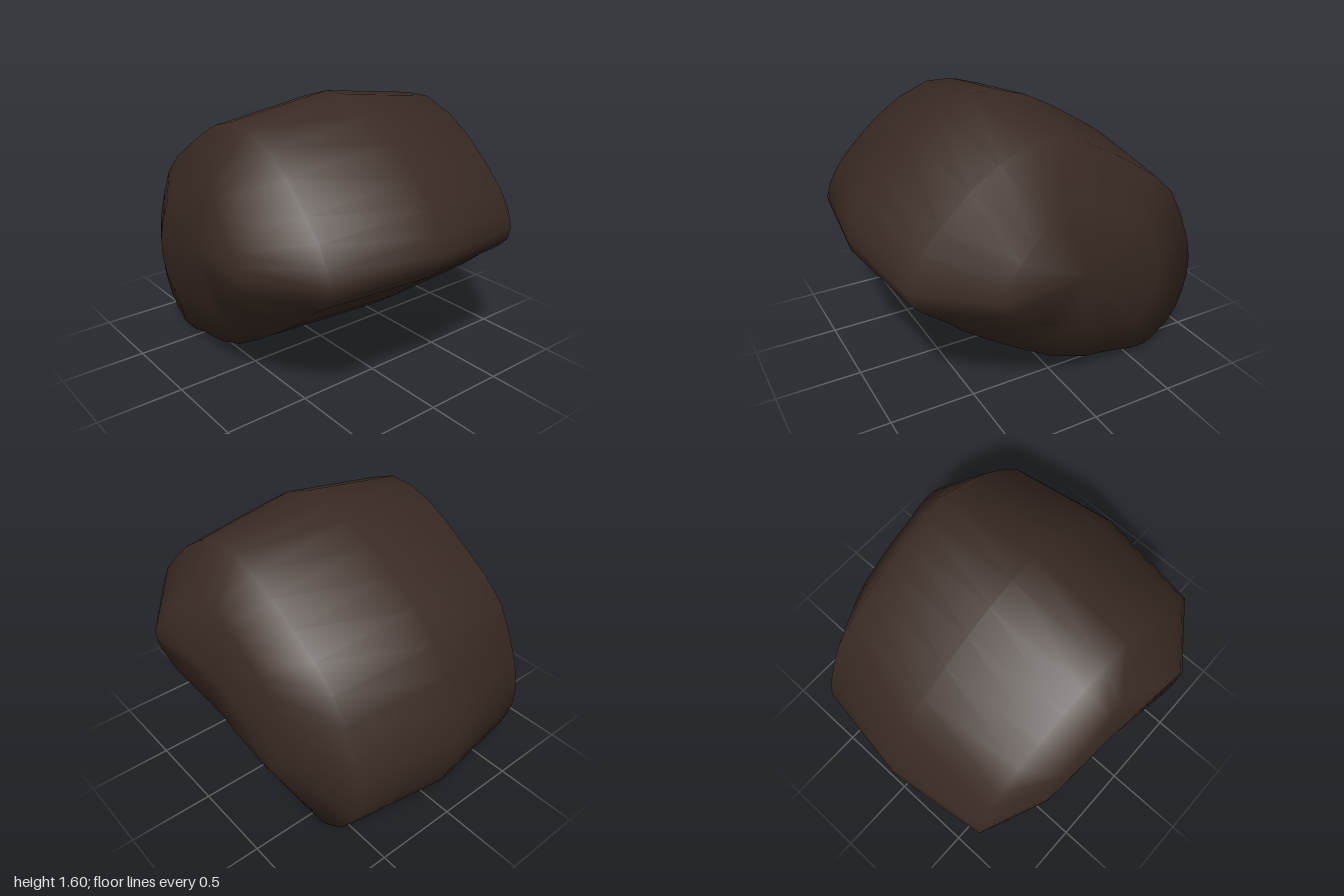
import * as THREE from 'three';

// side outline of the widest section, as [z, y]: top, back, bottom, front
const OUTLINE = [
  [0.24, 1.6], [0.06, 1.595], [-0.11, 1.545], [-0.28, 1.46], [-0.46, 1.35], [-0.64, 1.235],
  [-0.79, 1.095], [-0.88, 0.93], [-0.96, 0.74], [-1, 0.58], [-1, 0.44], [-0.97, 0.31],
  [-0.93, 0.21], [-0.87, 0.13], [-0.79, 0.06], [-0.69, 0], [-0.56, 0], [-0.4, 0.04],
  [-0.17, 0.075], [0.06, 0.16], [0.27, 0.285], [0.48, 0.42], [0.67, 0.555], [0.8, 0.67],
  [0.91, 0.75], [0.98, 0.82], [1, 0.9], [0.97, 1], [0.9, 1.12], [0.79, 1.24],
  [0.62, 1.4], [0.44, 1.52],
];

// each section maps an outline point to its place: middle, shoulder, side rim
const middle = (z, y) => [0, y, z];
const shoulder = (z, y, side) => [side * (0.635 + 0.015 * z), 0.045 + 0.916 * y, 0.913 * z];
const rim = (z, y, side) => [
  side * (0.805 + 0.115 * THREE.MathUtils.smoothstep(z, 0, 0.9)),
  0.4 + 0.515 * y,
  0.01 + 0.53 * z,
];

function buildShell() {
  const sections = [[rim, -1], [shoulder, -1], [middle, 1], [shoulder, 1], [rim, 1]];
  const n = OUTLINE.length;
  const positions = [];
  const index = [];
  for (const [place, side] of sections) {
    for (const [z, y] of OUTLINE) positions.push(...place(z, y, side));
  }
  // skin between neighbouring sections
  for (let s = 0; s < sections.length - 1; s++) {
    for (let j = 0; j < n; j++) {
      const k = (j + 1) % n;
      const a = s * n + j, b = a + n, c = s * n + k, d = c + n;
      index.push(a, b, c, b, d, c);
    }
  }
  // side caps
  const left = sections.length * n, right = left + 1;
  positions.push(-0.857, 0.82, 0, 0.857, 0.82, 0);
  const last = (sections.length - 1) * n;
  for (let j = 0; j < n; j++) {
    const k = (j + 1) % n;
    index.push(left, j, k, right, last + k, last + j);
  }
  const geometry = new THREE.BufferGeometry();
  geometry.setAttribute('position', new THREE.Float32BufferAttribute(positions, 3));
  geometry.setIndex(index);
  geometry.computeVertexNormals();
  return geometry;
}

export function createModel() {
  const group = new THREE.Group();
  const shell = new THREE.Mesh(buildShell(), new THREE.MeshStandardMaterial({ color: 0x3a2b23 }));
  shell.name = 'roundedShell';
  group.add(shell);
  return group;
}
